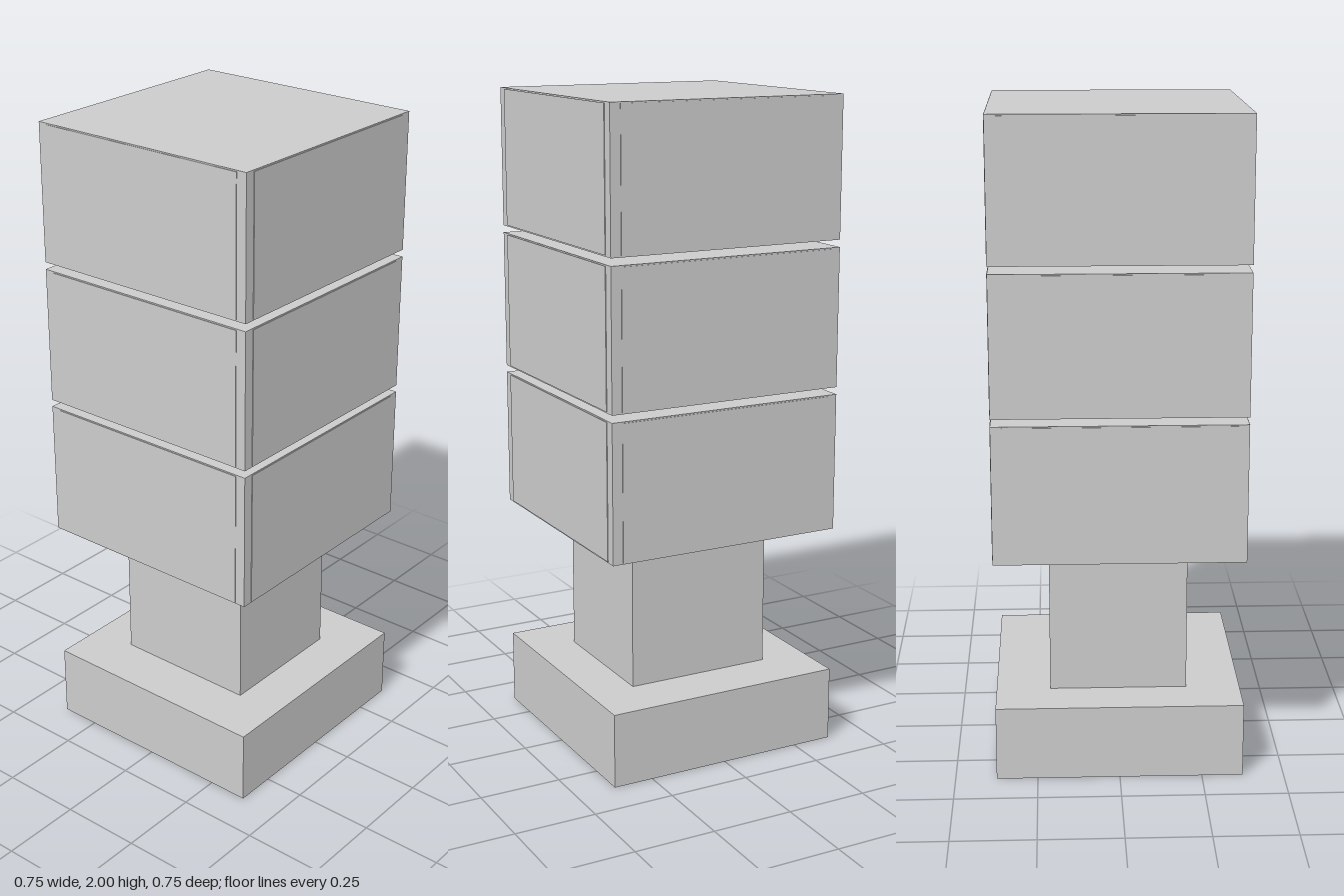
import * as THREE from 'three';

const material = new THREE.MeshStandardMaterial({ color: 0xcccccc, flatShading: true });

// Box placed by its bottom height
function addBox(parent, name, w, h, d, y, x = 0, z = 0) {
  const mesh = new THREE.Mesh(new THREE.BoxGeometry(w, h, d), material);
  mesh.name = name;
  mesh.position.set(x, y + h / 2, z);
  parent.add(mesh);
  return mesh;
}

export function createModel() {
  const model = new THREE.Group();
  model.name = 'signalTower';

  // Square foot and narrower neck
  addBox(model, 'base', 0.75, 0.23, 0.75, 0);
  addBox(model, 'neck', 0.46, 0.46, 0.42, 0.23);

  // Three stacked blocks with a thin raised panel on each side
  const width = 0.75, height = 0.422, pitch = 0.444, relief = 0.002;
  for (let i = 0; i < 3; i++) {
    const block = new THREE.Group();
    block.name = 'block' + (i + 1);
    block.position.y = 0.69 + i * pitch;
    addBox(block, 'blockCore', width, height, width, 0);
    const offset = width / 2;
    for (const s of [-1, 1]) {
      addBox(block, s > 0 ? 'frontPanel' : 'backPanel', 0.686, height - 0.008, relief * 2, 0.004, 0, s * offset);
      addBox(block, s > 0 ? 'leftPanel' : 'rightPanel', relief * 2, height - 0.008, 0.686, 0.004, s * offset, 0);
    }
    model.add(block);
  }
  return model;
}
